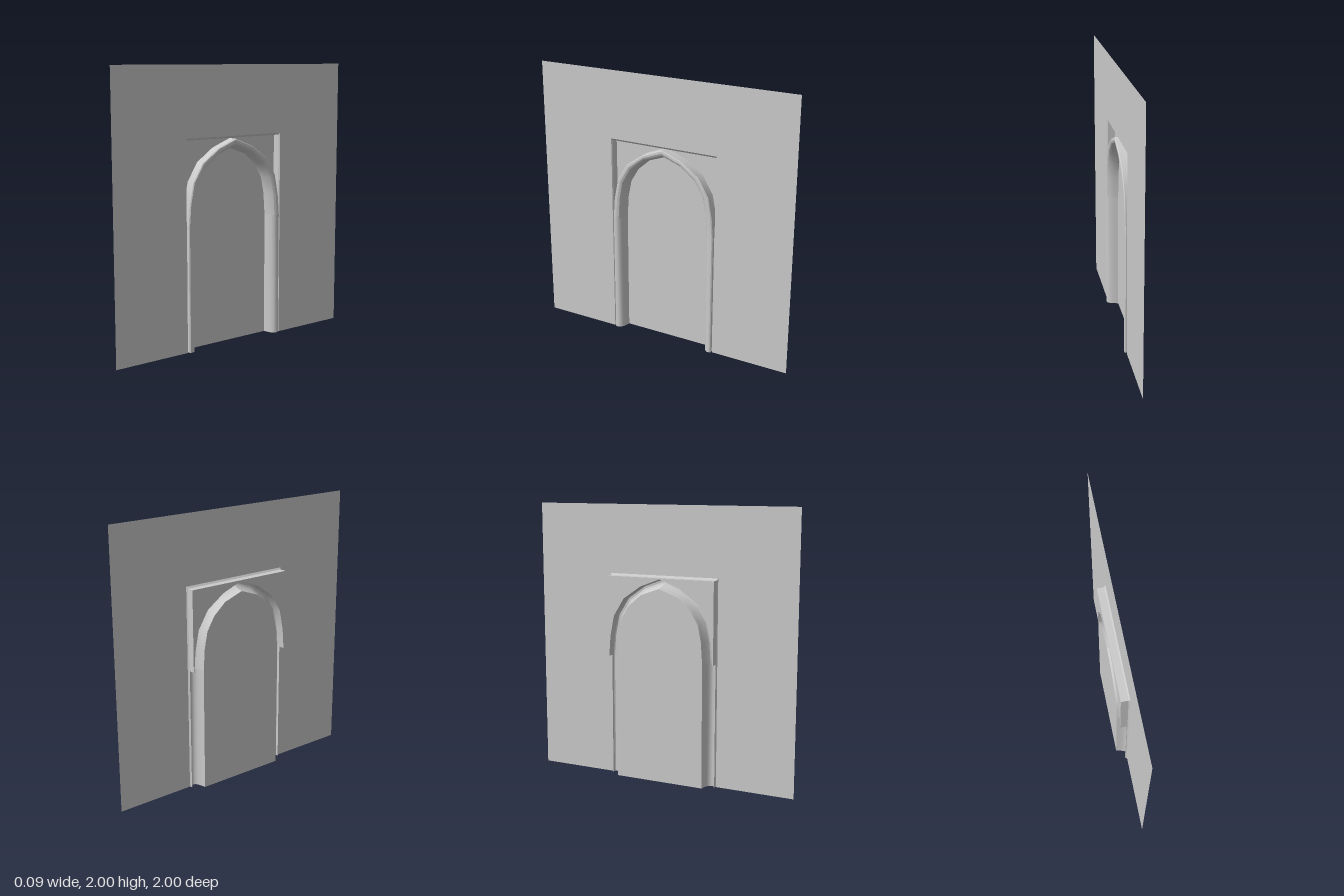
import * as THREE from 'three';
import { toCreasedNormals } from 'three/addons/utils/BufferGeometryUtils.js';

const MAT = new THREE.MeshStandardMaterial({ color: 0xcccccc, side: THREE.DoubleSide });

// depths along x
const WALL_X = 0.03, RIM_X = 0.02, LOW_X = 0.015, BACK_X = -0.032, PANEL_X = -0.043;
const SPRING = 0.9, TOP = 1.49, HALF = 0.413;

// half arch as [z, y], from the floor to the crown
const OUTER = [[0.408, 0], [0.408, SPRING], [0.408, SPRING], [0.396, 1.05], [0.366, 1.2], [0.286, 1.33], [0.15, 1.425], [0, 1.483]];
const INNER = [[0.338, 0], [0.336, SPRING], [0.336, SPRING], [0.325, 1.06], [0.3, 1.18], [0.24, 1.28], [0.145, 1.363], [0, 1.415]];

// moulding section as [share of the way from outer to inner arch, x]
const SECTION = [[0, 0.036], [0.1, 0.042], [0.35, 0.043], [0.58, 0.036], [0.78, 0.016], [0.9, -0.01], [1, PANEL_X]];

const mirror = (half) => half.concat(half.slice(0, -1).reverse().map(([z, y]) => [-z, y]));

// surface through rows of [x, y, z] points
function loft(rows, crease = 0.4) {
  const n = rows[0].length, index = [];
  for (let i = 0; i < rows.length - 1; i++) {
    for (let j = 0; j < n - 1; j++) {
      const a = i * n + j, b = a + n;
      index.push(a, b, a + 1, b, b + 1, a + 1);
    }
  }
  const geo = new THREE.BufferGeometry();
  geo.setAttribute('position', new THREE.Float32BufferAttribute(rows.flat(2), 3));
  geo.setIndex(index);
  return toCreasedNormals(geo, crease);
}

// flat sheet in the z-y plane, facing +x
function sheet(points, x) {
  const shape = new THREE.Shape(points.map(([z, y]) => new THREE.Vector2(-z, y)));
  return new THREE.ShapeGeometry(shape).rotateY(Math.PI / 2).translate(x, 0, 0);
}

const at = (path, x) => path.map(([z, y]) => [x, y, z]);
const portal = (half, bottom, top) => [[half, bottom], [half, top], [-half, top], [-half, bottom]];

export function createModel() {
  const group = new THREE.Group();
  const add = (name, geo) => {
    const mesh = new THREE.Mesh(geo, MAT);
    mesh.name = name;
    group.add(mesh);
  };

  // wall with a doorway notch
  add('wall', sheet([[1, 0], [1, 2], [-1, 2], [-1, 0], ...portal(0.42, 0, 1.503).reverse()], WALL_X));

  // bevelled rim from the wall into the recess
  add('recessRim', loft([at(portal(0.42, 0, 1.503), WALL_X), at(portal(HALF, 0, TOP), RIM_X)]));

  // deep upper recess: sides and top, then the spandrel at its back
  const upper = portal(HALF, SPRING, TOP);
  add('recessSurround', loft([at(upper, RIM_X), at(upper, BACK_X)]));
  const archTop = mirror(OUTER.slice(2));
  add('spandrel', sheet([...upper, ...archTop.slice().reverse()], BACK_X));

  // shallow lower recess and the small ledge where the depth changes
  for (const s of [1, -1]) {
    const line = (z, x) => [[x, 0, s * z], [x, SPRING, s * z]];
    add('lowerJamb', loft([line(HALF, RIM_X), line(HALF, LOW_X), line(0.408, LOW_X)]));
    add('recessLedge', loft([
      [[LOW_X, SPRING, s * HALF], [BACK_X, SPRING, s * HALF]],
      [[LOW_X, SPRING, s * 0.408], [BACK_X, SPRING, s * 0.408]],
    ]));
  }

  // arch moulding: outer edge, rounded face, splay back to the panel
  const outer = mirror(OUTER), inner = mirror(INNER);
  const rows = outer.map(([z, y], i) => {
    const isUpper = i >= 2 && i <= outer.length - 3;
    const row = [[isUpper ? BACK_X : LOW_X, y, z]];
    for (const [t, x] of SECTION) {
      row.push([x, y + (inner[i][1] - y) * t, z + (inner[i][0] - z) * t]);
    }
    return row;
  });
  // straight legs and curved head lofted apart, so the back depth can step
  const last = rows.length;
  add('leftArchLeg', loft(rows.slice(0, 2), 0.6));
  add('archHead', loft(rows.slice(2, last - 2), 0.45));
  add('rightArchLeg', loft(rows.slice(last - 2), 0.6));

  // door panel closing the arch
  add('doorPanel', sheet(inner.filter((p, i) => i !== 2 && i !== last - 3), PANEL_X));

  return group;
}
